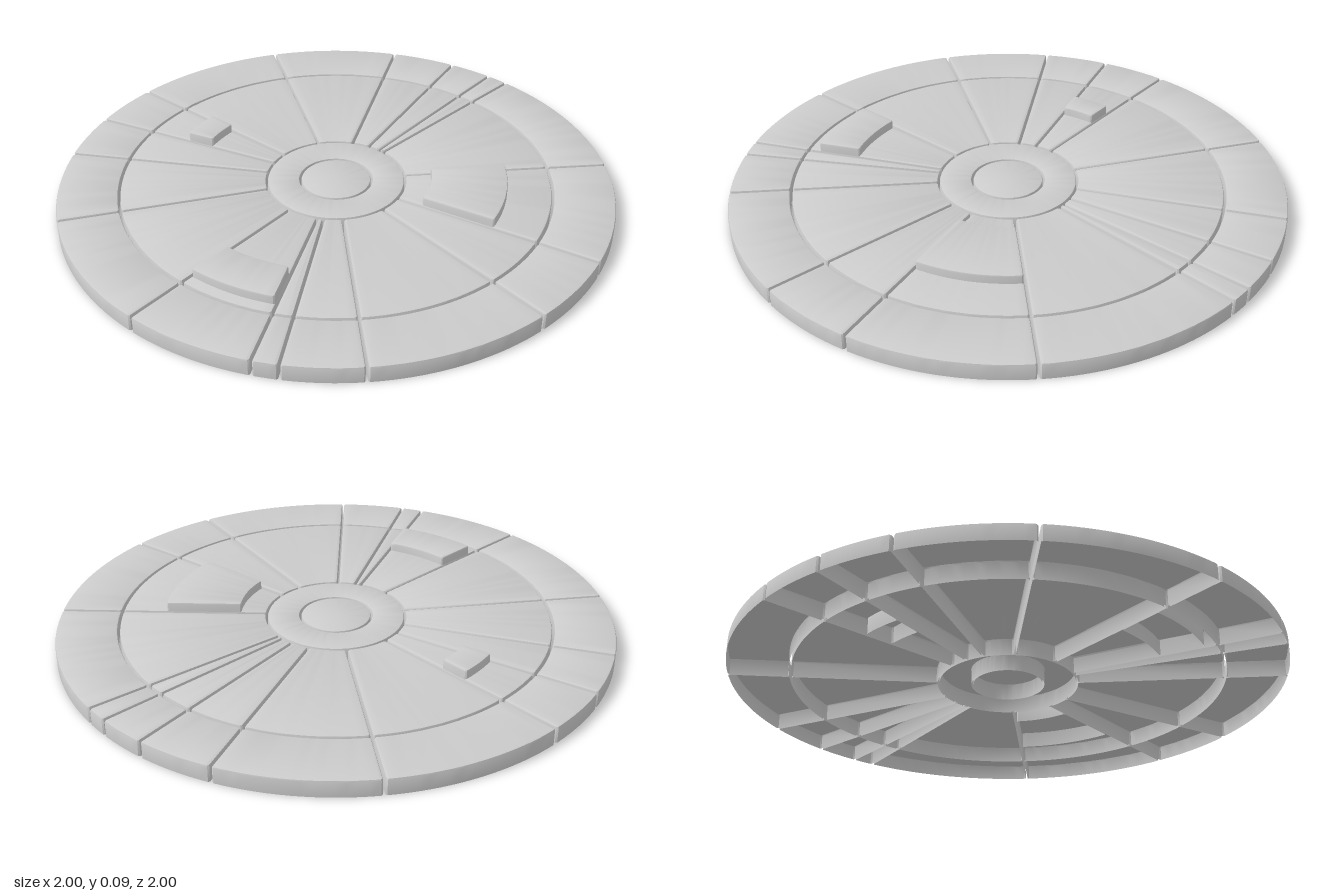
import * as THREE from 'three';
import { toCreasedNormals } from 'three/addons/utils/BufferGeometryUtils.js';

const DEG = Math.PI / 180;
const HEIGHT = 0.06;
const PAD_TOP = 0.093;
const GAP = 0.004;     // half the groove between plates
const BEVEL = 0.007;
const CUTS = [10, 45, 65, 100, 115, 120, 145, 180, 205, 220, 235, 270, 300, 315, 325, 330];

// Ring-sector outline with sides parallel to the cuts and nipped corners.
function outline(r0, r1, a0, a1, gap, inset) {
  const nip = 0.005;
  const n = Math.max(3, Math.ceil((a1 - a0) / 2));
  const from = a0 * DEG, to = a1 * DEG;
  const arc = (r, inward) => {
    const shift = (d, rad) => Math.min(Math.asin(d / rad), (to - from) * 0.47);
    const at = (rad, a) => [rad * Math.cos(a), rad * Math.sin(a)];
    const side = shift(gap + inset, r + inward * nip);
    const end = shift(gap + inset + nip, r);
    const pts = [at(r + inward * nip, from + side)];
    for (let i = 0; i <= n; i++) pts.push(at(r, from + end + (to - from - 2 * end) * i / n));
    pts.push(at(r + inward * nip, to - side));
    return pts;
  };
  return [...arc(r1 - inset, -1), ...arc(r0 + inset, 1).reverse()];
}

// Hollow sector: walls, rounded top edge and top, open underneath.
function sectorShell(r0, r1, a0, a1, top, gap = GAP) {
  const levels = [[0, 0], [0, top - BEVEL], [BEVEL * 0.3, top - BEVEL * 0.3], [BEVEL, top]];
  const pos = [], index = [];
  let n = 0;
  for (const [inset, y] of levels) {
    const pts = outline(r0, r1, a0, a1, gap, inset);
    n = pts.length;
    for (const [x, z] of pts) pos.push(x, y, z);
  }
  for (let l = 0; l < levels.length - 1; l++) {
    for (let k = 0; k < n; k++) {
      const a = l * n + k, b = l * n + (k + 1) % n;
      index.push(a, a + n, b, b, a + n, b + n);
    }
  }
  // Top face as a strip between outer and inner arcs
  const t = (levels.length - 1) * n;
  for (let k = 0; k < n / 2 - 1; k++) {
    const o = t + k, i = t + n - 1 - k;
    index.push(o, i, o + 1, o + 1, i, i - 1);
  }
  const geo = new THREE.BufferGeometry();
  geo.setAttribute('position', new THREE.Float32BufferAttribute(pos, 3));
  geo.setIndex(index);
  return toCreasedNormals(geo, 0.7);
}

function turned(points) {
  const profile = points.map(([x, y]) => new THREE.Vector2(x, y));
  return toCreasedNormals(new THREE.LatheGeometry(profile, 96), 0.7);
}

export function createModel() {
  const model = new THREE.Group();
  model.name = 'segmentedDisc';
  const material = new THREE.MeshStandardMaterial({ color: 0xcccccc, side: THREE.DoubleSide });
  const add = (name, geometry) => {
    const mesh = new THREE.Mesh(geometry, material);
    mesh.name = name;
    model.add(mesh);
  };

  // Inner and outer rings of plates
  CUTS.forEach((a0, i) => {
    const a1 = i + 1 < CUTS.length ? CUTS[i + 1] : CUTS[0] + 360;
    add('innerPlate', sectorShell(0.25 + GAP, 0.78 - GAP, a0, a1, HEIGHT));
    add('outerPlate', sectorShell(0.78 + GAP, 1, a0, a1, HEIGHT));
  });

  // Raised pads, whose walls run down to the base
  for (const [r0, r1, a0, a1] of [
    [0.345, 0.618, 10, 45],
    [0.575, 0.736, 120, 145],
    [0.515, 0.62, 220, 235],
  ]) add('raisedPad', sectorShell(r0, r1, a0, a1, PAD_TOP, GAP + 0.002));

  // Hub ring and centre cap, both hollow below
  const e = HEIGHT - BEVEL, m = BEVEL * 0.3;
  add('hubRing', turned([
    [0.248, 0], [0.248, e], [0.248 - m, HEIGHT - m], [0.248 - BEVEL, HEIGHT],
    [0.132 + BEVEL, HEIGHT], [0.132 + m, HEIGHT - m], [0.132, e], [0.132, 0],
  ]));
  add('centreCap', turned([
    [0.126, 0], [0.126, e], [0.126 - m, HEIGHT - m], [0.126 - BEVEL, HEIGHT], [0, HEIGHT],
  ]));

  return model;
}
